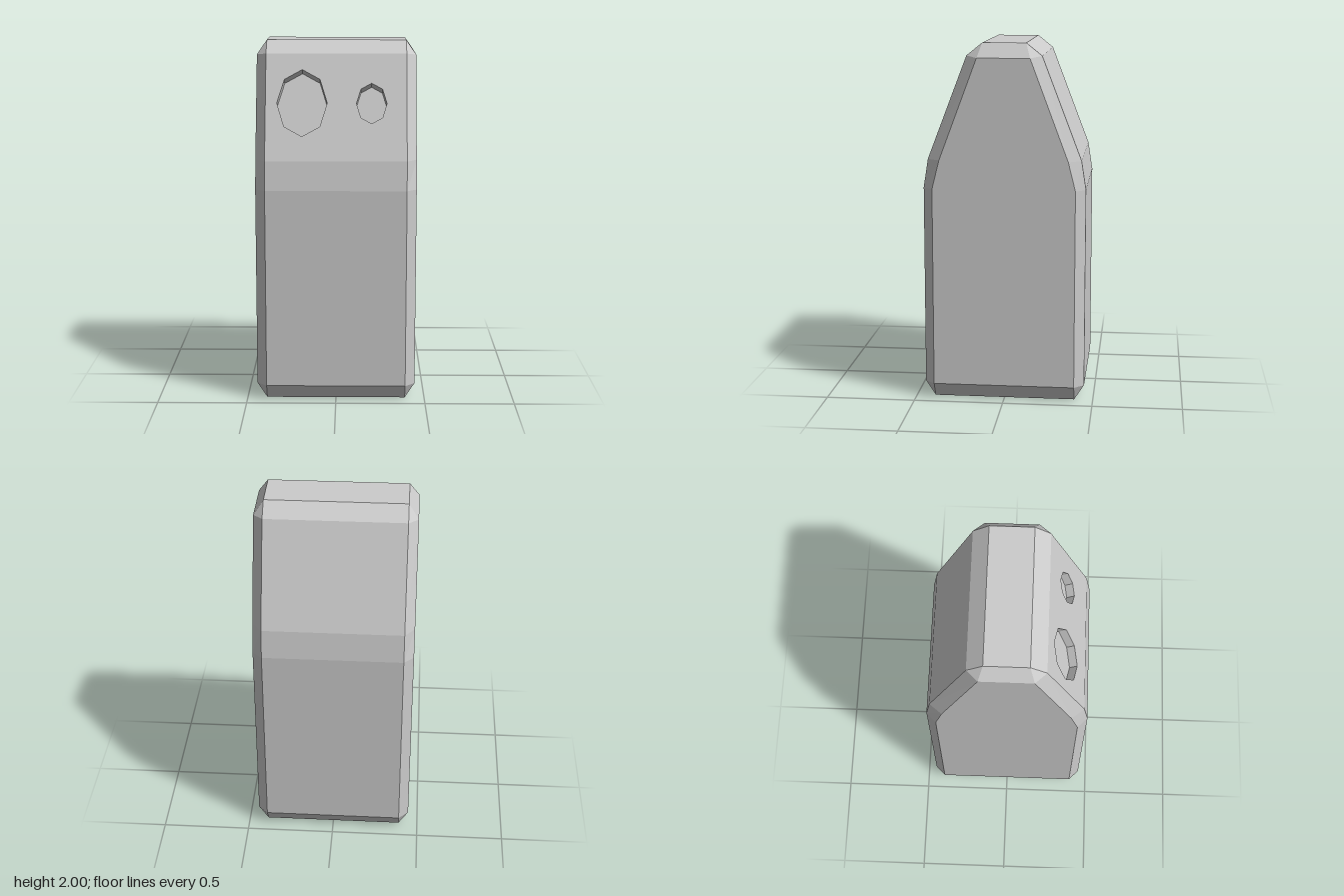
import * as THREE from 'three';

const HALF = 0.39, CAP = 0.445; // half widths: main faces, side panels

// Half profiles as [z, y], bottom to top; the panel repeats points at chamfer corners
const mirrorProfile = (p) => [...p, ...p.map(([z, y]) => [-z, y]).reverse()];
const outer = mirrorProfile([[0.395, 0], [0.45, 0.085], [0.45, 1.2], [0.425, 1.36], [0.207, 1.93], [0.12, 2]]);
const panel = mirrorProfile([[0.395, 0.085], [0.395, 0.085], [0.395, 1.2], [0.355, 1.36], [0.145, 1.92], [0.145, 1.92]]);
const SLOPE = 3; // index of the slanted front strip

const material = new THREE.MeshStandardMaterial({ color: 0xcccccc, flatShading: true });

// Collects polygons (fans of Vector3) and turns them into a mesh
function polygonMesh(name, polygons) {
  const pts = [];
  for (const poly of polygons) {
    for (let i = 1; i < poly.length - 1; i++) {
      const tri = new THREE.Triangle(poly[0], poly[i], poly[i + 1]);
      if (tri.getArea() > 1e-7) pts.push(tri.a, tri.b, tri.c);
    }
  }
  const geo = new THREE.BufferGeometry().setFromPoints(pts);
  geo.computeVertexNormals();
  const mesh = new THREE.Mesh(geo, material);
  mesh.name = name;
  return mesh;
}

const at = (x, [z, y]) => new THREE.Vector3(x, y, z);

// Depth of the slanted front at height y
function slopeZ(y) {
  const [z0, y0] = outer[SLOPE], [z1, y1] = outer[SLOPE + 1];
  return z0 + (z1 - z0) * (y - y0) / (y1 - y0);
}

// Flat shape laid onto the slanted front, optionally sunk inwards
function slopeMesh(name, shape, dy = 0, dz = 0) {
  const geo = new THREE.ShapeGeometry(shape);
  const pos = geo.attributes.position;
  for (let i = 0; i < pos.count; i++) {
    const y = pos.getY(i);
    pos.setXYZ(i, pos.getX(i), y + dy, slopeZ(y) + dz);
  }
  geo.computeVertexNormals();
  const mesh = new THREE.Mesh(geo, material);
  mesh.name = name;
  return mesh;
}

function octagon(cx, cy, rx, ry) {
  return Array.from({ length: 8 }, (_, i) => {
    const a = i * Math.PI / 4;
    return new THREE.Vector2(cx + rx * Math.cos(a), cy + ry * Math.sin(a));
  });
}

export function createModel() {
  const group = new THREE.Group();
  group.name = 'taperedBlock';
  const n = outer.length;

  // Wrap-around faces, leaving the slanted front open
  const wrap = [];
  for (let i = 0; i < n; i++) {
    const a = outer[i], b = outer[(i + 1) % n];
    if (i !== SLOPE) wrap.push([at(-HALF, a), at(HALF, a), at(HALF, b), at(-HALF, b)]);
  }
  group.add(polygonMesh('body', wrap));

  // Chamfers and side panels
  for (const s of [1, -1]) {
    const polys = [panel.map((p) => at(s * CAP, p)).reverse()];
    for (let i = 0; i < n; i++) {
      const j = (i + 1) % n;
      polys.push([at(s * HALF, outer[i]), at(s * CAP, panel[i]), at(s * CAP, panel[j]), at(s * HALF, outer[j])]);
    }
    if (s < 0) polys.forEach((p) => p.reverse());
    group.add(polygonMesh(s > 0 ? 'leftSide' : 'rightSide', polys));
  }

  // Slanted front with two sunken eight-sided sockets
  const y0 = outer[SLOPE][1], y1 = outer[SLOPE + 1][1];
  const front = new THREE.Shape([[-HALF, y0], [HALF, y0], [HALF, y1], [-HALF, y1]].map((p) => new THREE.Vector2(...p)));
  const sink = new THREE.Vector3(0, -0.027, -0.041);
  const sockets = [
    ['largeSocket', octagon(-0.188, 1.667, 0.139, 0.177)],
    ['smallSocket', octagon(0.196, 1.665, 0.084, 0.107)],
  ];
  for (const [name, ring] of sockets) {
    front.holes.push(new THREE.Path(ring));
    const rim = ring.map((p) => new THREE.Vector3(p.x, p.y, slopeZ(p.y)));
    const base = rim.map((p) => p.clone().add(sink));
    const walls = rim.map((p, i) => {
      const j = (i + 1) % rim.length;
      return [p, rim[j], base[j], base[i]];
    });
    group.add(polygonMesh(name + 'Wall', walls));
    group.add(slopeMesh(name + 'Floor', new THREE.Shape(ring), sink.y, sink.z));
  }
  group.add(slopeMesh('slantedFront', front));

  return group;
}
